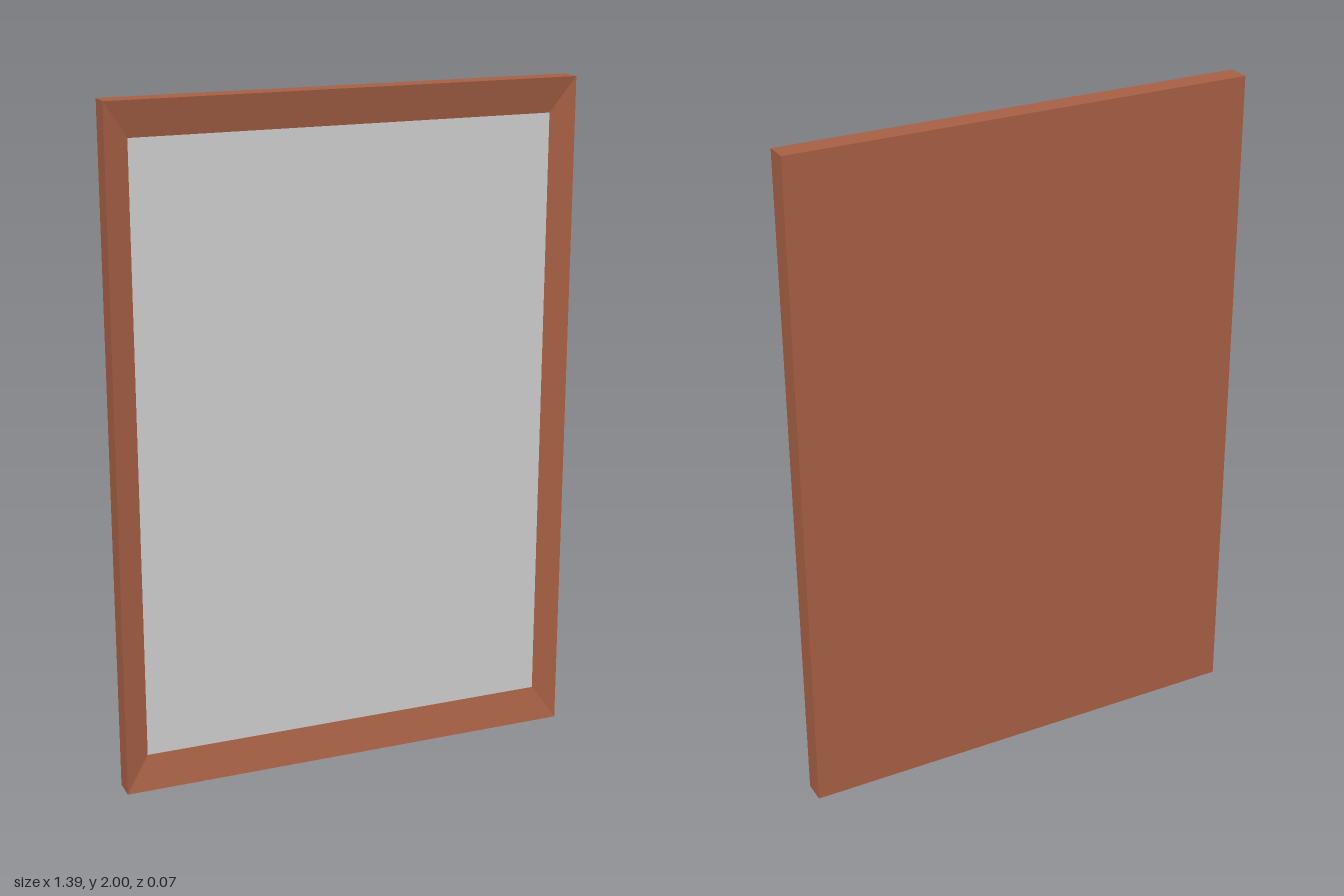
import * as THREE from 'three';

const W = 0.695, D = 0.034;          // half width and half depth of the frame
const IW = 0.625, IH = 0.897;        // half size of the opening
const RECESS_Z = 0.01;               // depth at which the panel sits

// Joins rectangular rings [halfWidth, halfHeight, z] with flat-shaded quads.
function rectangleLoft(rings) {
  const corners = rings.map(([w, h, z]) => [[-w, -h, z], [w, -h, z], [w, h, z], [-w, h, z]]);
  const positions = [];
  for (let r = 0; r < corners.length - 1; r++) {
    for (let i = 0; i < 4; i++) {
      const j = (i + 1) % 4;
      const a = corners[r][i], b = corners[r][j];
      const c = corners[r + 1][j], d = corners[r + 1][i];
      positions.push(...a, ...d, ...c, ...a, ...c, ...b);
    }
  }
  const geometry = new THREE.BufferGeometry();
  geometry.setAttribute('position', new THREE.Float32BufferAttribute(positions, 3));
  geometry.computeVertexNormals();
  return geometry;
}

export function createModel() {
  const model = new THREE.Group();
  model.name = 'framedPanel';

  // Mitred frame: bevel sloping in to the panel, outer edges
  const frame = new THREE.Mesh(
    rectangleLoft([[IW, IH, RECESS_Z], [W, 1, D], [W, 1, -D]]),
    new THREE.MeshStandardMaterial({ color: 0xa55f44 })
  );
  frame.name = 'frame';
  frame.position.y = 1;

  // Plain backing board closing the rear
  const back = new THREE.Mesh(new THREE.PlaneGeometry(2 * W, 2), frame.material);
  back.name = 'backBoard';
  back.rotation.y = Math.PI;
  back.position.set(0, 1, -D);

  // Recessed panel
  const panel = new THREE.Mesh(
    new THREE.PlaneGeometry(2 * IW, 2 * IH),
    new THREE.MeshStandardMaterial({ color: 0xcccccc })
  );
  panel.name = 'panel';
  panel.position.set(0, 1, RECESS_Z);

  model.add(frame, back, panel);
  return model;
}
